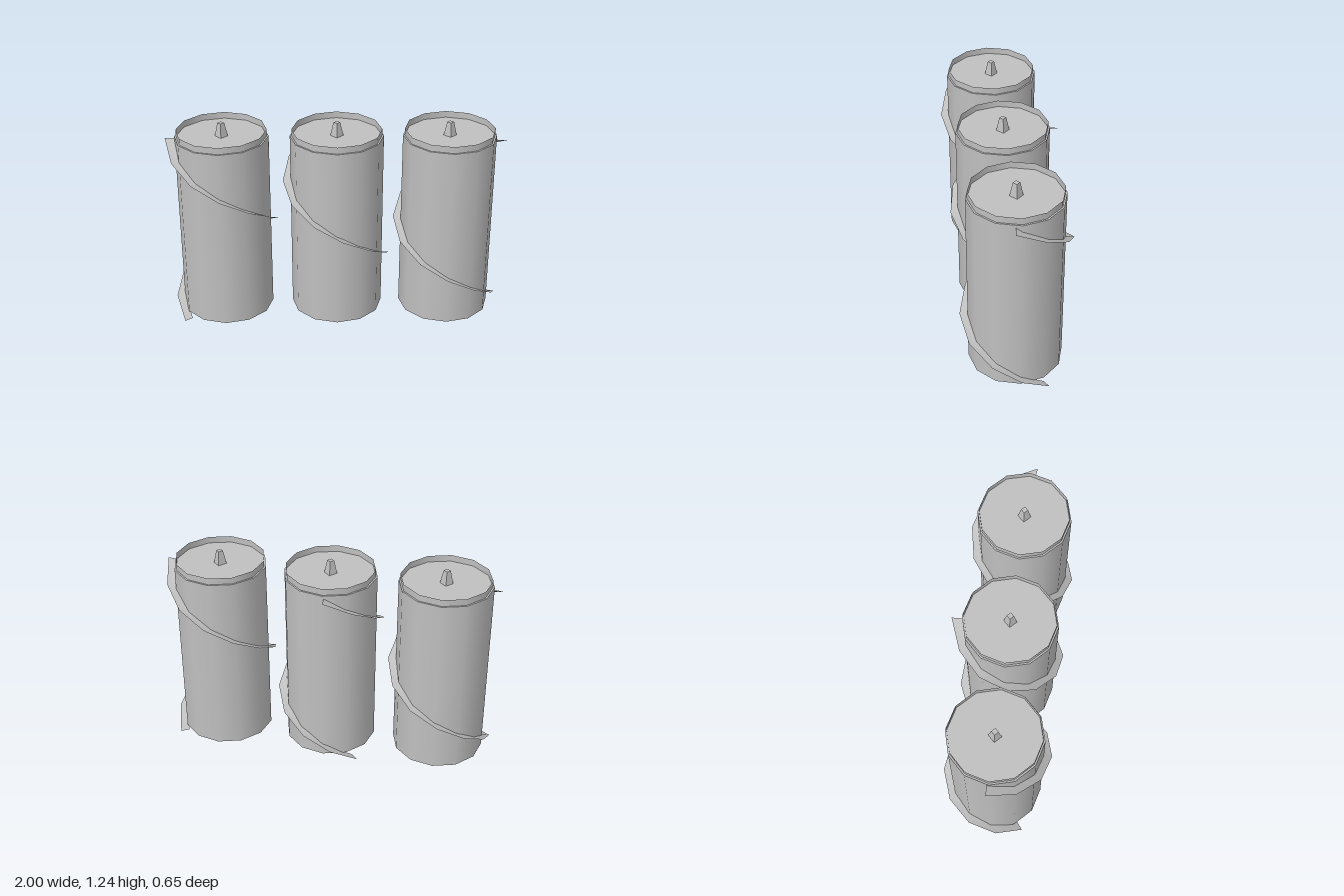
import * as THREE from 'three';

const SIDES = 12;
const RADIUS = 0.275;
const BASE_Y = 0.038;
const SHOULDER_Y = 1.155;
const RIM_Y = 1.195;

// Spiral fin: a flat ribbon that winds down around a drum from a start angle in degrees
function spiralFin(startDeg) {
  const steps = 13, sweep = 398, topY = 1.137;
  const inner = 0.268, outer = 0.321;
  const points = [], index = [];
  for (let i = 0; i <= steps; i++) {
    const t = i / steps;
    const a = THREE.MathUtils.degToRad(startDeg + sweep * t);
    const y = topY * (1 - t);
    for (const r of [inner, i === 0 ? 0.333 : outer]) {
      points.push(Math.cos(a) * r, y, -Math.sin(a) * r);
    }
    if (i < steps) {
      const k = i * 2;
      index.push(k, k + 1, k + 2, k + 1, k + 3, k + 2);
    }
  }
  const geometry = new THREE.BufferGeometry();
  geometry.setAttribute('position', new THREE.Float32BufferAttribute(points, 3));
  geometry.setIndex(index);
  geometry.computeVertexNormals();
  return geometry;
}

export function createModel() {
  const grey = new THREE.MeshStandardMaterial({ color: 0xc0c0c0, side: THREE.DoubleSide });
  grey.name = 'grey metal';

  const model = new THREE.Group();
  model.name = 'threeDrums';

  function add(parent, name, geometry, y = 0) {
    const mesh = new THREE.Mesh(geometry, grey);
    mesh.name = name;
    mesh.position.y = y;
    parent.add(mesh);
    return mesh;
  }

  // Shared parts: drum body, thin raised rim and tapered knob
  const bodyGeometry = new THREE.CylinderGeometry(RADIUS, RADIUS, SHOULDER_Y - BASE_Y, SIDES);
  const rimGeometry = new THREE.CylinderGeometry(0.265, 0.265, RIM_Y - SHOULDER_Y, SIDES, 1, true);
  const knobGeometry = new THREE.CylinderGeometry(0.02, 0.038, 0.082, 4).toNonIndexed();
  knobGeometry.computeVertexNormals();

  // Each drum's spiral starts at a different angle
  const drums = [
    ['rightDrum', -0.667, 178],
    ['middleDrum', 0.006, 92],
    ['leftDrum', 0.667, -7],
  ];
  for (const [name, x, startDeg] of drums) {
    const drum = new THREE.Group();
    drum.name = name;
    drum.position.x = x;
    add(drum, 'body', bodyGeometry, (BASE_Y + SHOULDER_Y) / 2);
    add(drum, 'rim', rimGeometry, (SHOULDER_Y + RIM_Y) / 2);
    add(drum, 'knob', knobGeometry, SHOULDER_Y + 0.041);
    add(drum, 'spiralFin', spiralFin(startDeg));
    model.add(drum);
  }
  return model;
}
